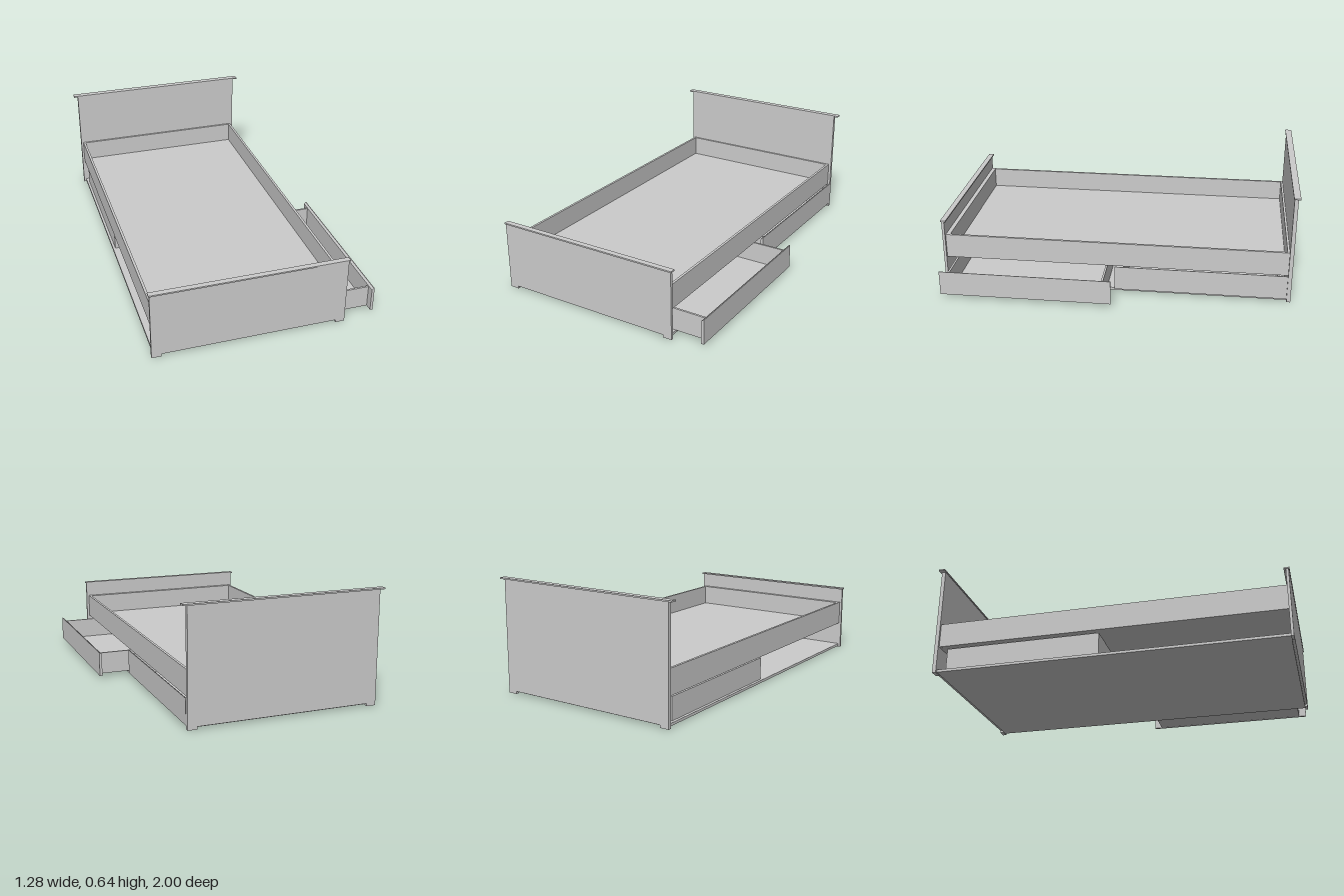
import * as THREE from 'three';

const material = new THREE.MeshStandardMaterial({ color: 0xcccccc, side: THREE.DoubleSide });

// Box given by its limits on each axis
function box(parent, name, [x0, x1], [y0, y1], [z0, z1]) {
  const mesh = new THREE.Mesh(new THREE.BoxGeometry(x1 - x0, y1 - y0, z1 - z0), material);
  mesh.position.set((x0 + x1) / 2, (y0 + y1) / 2, (z0 + z1) / 2);
  mesh.name = name;
  parent.add(mesh);
}

function extrude(parent, name, points, depth) {
  const shape = new THREE.Shape(points.map(([x, y]) => new THREE.Vector2(x, y)));
  const mesh = new THREE.Mesh(new THREE.ExtrudeGeometry(shape, { depth, bevelEnabled: false }), material);
  mesh.name = name;
  parent.add(mesh);
  return mesh;
}

// Upright end board with two low feet and an overhanging cap
function endBoard(name, height, z0, z1, capX, capZ) {
  const group = new THREE.Group();
  group.name = name;
  const panel = extrude(group, name + 'Panel', [
    [-0.615, 0], [-0.562, 0], [-0.562, 0.015], [0.408, 0.015],
    [0.408, 0], [0.46, 0], [0.46, height], [-0.615, height],
  ], z1 - z0);
  panel.position.z = z0;
  box(group, name + 'Cap', capX, [height, height + 0.008], capZ);
  return group;
}

// Open-topped drawer; its front panel has a sloped upper edge
function drawer(name, frontX, backX, z0, z1) {
  const group = new THREE.Group();
  group.name = name;
  const front = extrude(group, 'drawerFront', [
    [frontX - 0.015, 0.02], [frontX, 0.02], [frontX, 0.161], [frontX - 0.004, 0.161], [frontX - 0.015, 0.152],
  ], z1 - z0);
  front.position.z = z0;
  const xs = [backX, frontX - 0.015], ys = [0.021, 0.147];
  const a = z0 + 0.045, b = z1 - 0.042, t = 0.011;
  box(group, 'drawerFloor', xs, [0.021, 0.028], [a, b]);
  box(group, 'drawerSide', xs, ys, [a, a + t]);
  box(group, 'drawerSide', xs, ys, [b - t, b]);
  box(group, 'drawerBack', [backX, backX + t], ys, [a + t, b - t]);
  return group;
}

export function createModel() {
  const model = new THREE.Group();
  model.name = 'bed';

  model.add(endBoard('headboard', 0.635, -0.99, -0.968, [-0.64, 0.486], [-1, -0.963]));
  model.add(endBoard('footboard', 0.387, 0.98, 0.995, [-0.62, 0.466], [0.969, 1]));

  // Mattress frame
  const frame = new THREE.Group();
  frame.name = 'mattressFrame';
  const railY = [0.16, 0.3];
  box(frame, 'sideRail', [-0.602, -0.588], railY, [-0.968, 0.98]);
  box(frame, 'sideRail', [0.431, 0.445], railY, [-0.968, 0.98]);
  box(frame, 'headRail', [-0.588, 0.431], railY, [-0.968, -0.956]);
  box(frame, 'footRail', [-0.588, 0.431], railY, [0.956, 0.98]);
  box(frame, 'mattressBase', [-0.588, 0.431], [0.161, 0.18], [-0.956, 0.956]);
  model.add(frame);

  box(model, 'basePlate', [-0.602, 0.445], [0.005, 0.02], [-0.968, 0.98]);

  // One drawer closed, one pulled out
  model.add(drawer('closedDrawer', 0.461, -0.588, -0.967, 0.002));
  model.add(drawer('openDrawer', 0.638, 0, 0.003, 0.973));

  return model;
}
